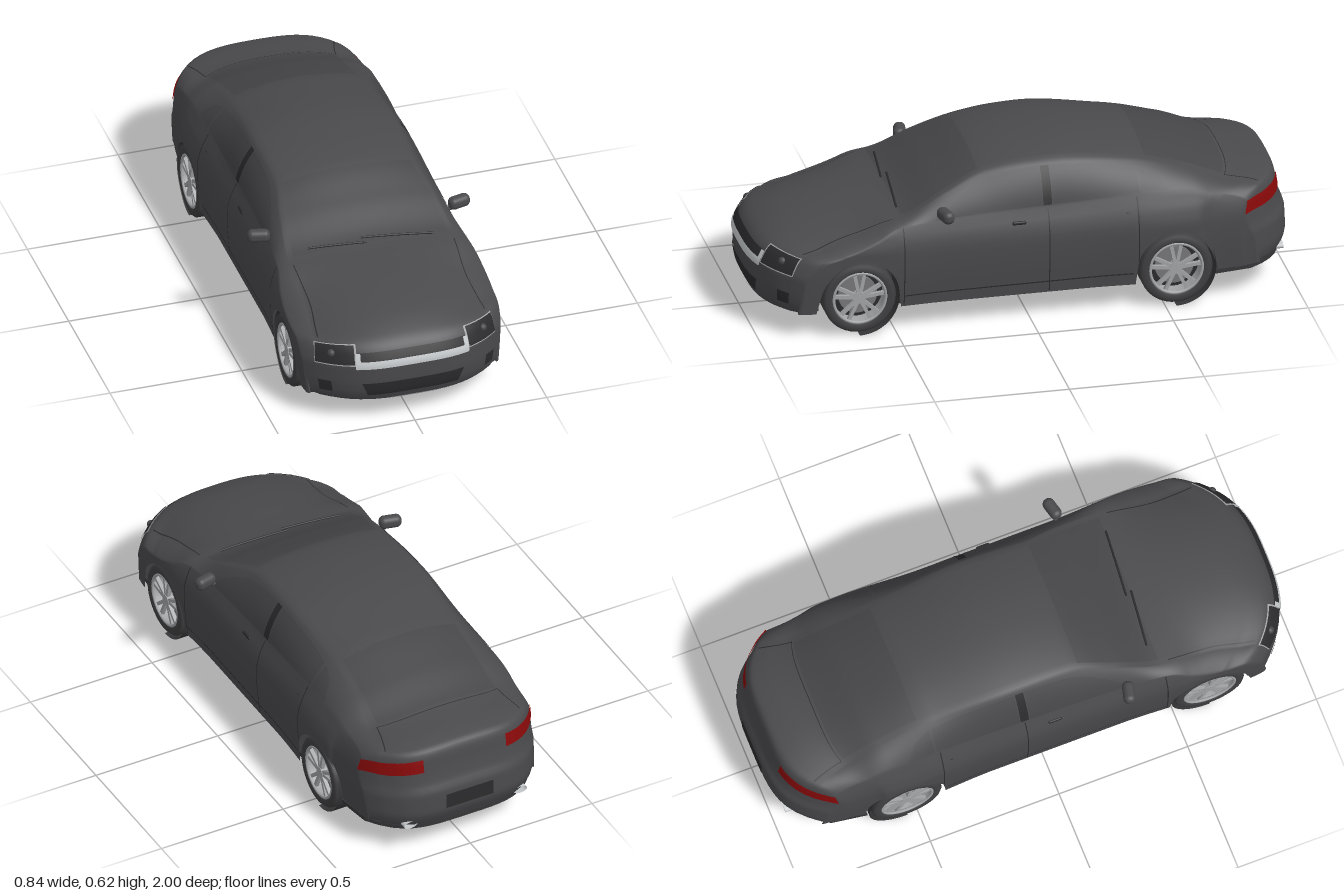
import * as THREE from 'three';
import { RoundedBoxGeometry } from 'three/addons/geometries/RoundedBoxGeometry.js';

const mat = (name, color) => new THREE.MeshStandardMaterial({ name, color, side: THREE.DoubleSide });
const M = {
  paint: mat('charcoalPaint', 0x4a4a4d), glass: mat('darkGlass', 0x464649), trim: mat('blackTrim', 0x2b2b2d),
  tyre: mat('tyreRubber', 0x404042), rim: mat('alloy', 0xa2a4a6), chrome: mat('chrome', 0xc4c8ca),
  red: mat('tailRed', 0x8a0a0a), steel: mat('chassisSteel', 0x777779), floor: mat('underbody', 0x363638),
};

// smooth monotone interpolation through [u, value] points
function track(p) {
  const n = p.length, d = [], m = [];
  for (let i = 0; i < n - 1; i++) d.push((p[i + 1][1] - p[i][1]) / (p[i + 1][0] - p[i][0]));
  for (let i = 0; i < n; i++) {
    if (i === 0 || i === n - 1) m.push(n === 2 ? d[0] : 0.5 * d[Math.min(i, n - 2)]);
    else m.push(d[i - 1] * d[i] <= 0 ? 0 : 2 * d[i - 1] * d[i] / (d[i - 1] + d[i]));
  }
  return u => {
    if (u <= p[0][0]) return p[0][1];
    if (u >= p[n - 1][0]) return p[n - 1][1];
    let i = 0;
    while (u > p[i + 1][0]) i++;
    const h = p[i + 1][0] - p[i][0], t = (u - p[i][0]) / h, s = 1 - t;
    return p[i][1] * (1 + 2 * t) * s * s + m[i] * h * t * s * s + p[i + 1][1] * t * t * (3 - 2 * t) - m[i + 1] * h * t * t * s;
  };
}

// body lines; u runs tail to nose along the centre profile and equals z in the middle of the car
const U0 = -1.27, U1 = 1.2, AXLES = [0.635, -0.54], ARCH = 0.148, HUB = 0.135;
const along = track([[-1.27, -.975], [-1.2, -.998], [-1.13, -.995], [-1.1, -.98], [-1.05, -.968], [-.98, -.957], [-.9, -.9], [-.8, -.8],
  [.85, .85], [.93, .93], [.97, .962], [1, .98], [1.05, .998], [1.1, .998], [1.15, .993], [1.2, .975]]);
const top = track([[-1.27, .115], [-1.2, .18], [-1.13, .255], [-1.1, .29], [-1.05, .34], [-.98, .40], [-.95, .424], [-.9, .436], [-.77, .457],
  [-.61, .515], [-.39, .576], [-.115, .603], [.0, .598], [.14, .577], [.3, .507], [.47, .424], [.55, .412], [.68, .395], [.84, .363],
  [.93, .328], [.97, .305], [1, .28], [1.05, .235], [1.1, .185], [1.15, .135], [1.2, .085]]);
const halfW = track([[-1.27, .345], [-1.1, .352], [-.9, .362], [-.75, .375], [-.5, .388], [-.2, .376], [.3, .376], [.6, .387], [.93, .385], [1.05, .377], [1.2, .362]]);
const roofW = track([[-1.27, .30], [-1, .305], [-.9, .285], [-.77, .262], [-.4, .25], [-.1, .262], [.14, .258], [.3, .288], [.48, .312], [.7, .305], [.93, .325], [1.05, .337], [1.2, .32]]);
const drop = track([[-1.27, .01], [-1.05, .02], [-.9, .025], [-.77, .03], [-.4, .04], [-.1, .033], [.14, .028], [.3, .02], [.48, .016], [.68, .04], [.85, .045], [.97, .02], [1.2, .01]]);
const belt = track([[-1, .36], [-.9, .385], [-.75, .405], [-.55, .425], [-.2, .412], [.3, .398], [.47, .388], [.6, .35], [.75, .322], [.93, .295], [1.2, .26]]);
const girth = track([[.08, .962], [.15, .982], [.25, 1], [.3, 1], [.36, .965], [.41, .905], [.44, .87]]);
const sill = track([[-1.27, .115], [-.75, .1], [-.6, .085], [1.2, .085]]);
const bendF = track([[.5, 0], [.93, .18], [1.2, .18]]), bendR = track([[-1.27, .25], [-.92, .25], [-.6, 0]]);
const bent = (u, x) => along(u) - bendF(u) * Math.pow(Math.abs(x) / .39, 3) + (u < 0 ? bendR(u) : 0) * Math.pow(Math.abs(x) / .39, 4);

// point on the skin: q 0-1 lower side, 1-2 upper side, 2-3 edge to centre, 3-6 the mirror image
function skin(u, q) {
  const side = q > 3 ? -1 : 1;
  if (q > 3) q = 6 - q;
  const W = halfW(u), R = roofW(u), T = top(u), zs = bent(u, W * .98);
  let b = sill(u);
  for (const a of AXLES) if (Math.abs(zs - a) < ARCH) b = Math.max(b, HUB + Math.sqrt(ARCH ** 2 - (zs - a) ** 2));
  const E = Math.max(Math.min(b, T), T - drop(u)), B = Math.max(Math.min(b, E), Math.min(belt(u), E - .01));
  const bx = W * girth(B);
  let x, y;
  if (q <= 1) { y = b + (B - b) * q; x = W * girth(y); }
  else if (q <= 2) {
    const f = q - 1, dx = bx - R, dy = E - B, l = Math.hypot(dx, dy), k = .07 * l * 4 * f * (1 - f);
    x = bx - dx * f + k * dy / l; y = B + dy * f + k * dx / l;
  } else { x = R * (3 - q); y = E + (T - E) * (1 - Math.pow(3 - q, 2.2)); }
  return new THREE.Vector3(side * x, y, bent(u, x));
}
function lifted(u, q, off) {
  const p = skin(u, q);
  if (!off) return p;
  const du = skin(u + .004, q).sub(skin(u - .004, q)), dq = skin(u, q + .01).sub(skin(u, q - .01));
  return p.addScaledVector(dq.cross(du).normalize(), off);
}

export function createModel() {
  const car = new THREE.Group();
  car.name = 'sedan';
  const add = (name, geo, m, pos = [0, 0, 0], parent = car) => {
    const o = new THREE.Mesh(geo, m);
    o.name = name; o.position.set(...pos); parent.add(o);
    return o;
  };
  // piece of skin between q0(u) and q1(u)
  const patch = (name, m, ua, ub, nu, q0, q1, nq, off) => {
    const f = v => typeof v === 'function' ? v : () => v, A = f(q0), B = f(q1), pos = [], idx = [];
    for (let i = 0; i <= nu; i++) for (let j = 0; j <= nq; j++) {
      const u = ua + (ub - ua) * i / nu;
      pos.push(...lifted(u, A(u) + (B(u) - A(u)) * j / nq, off));
      const k = i * (nq + 1) + j;
      if (i < nu && j < nq) idx.push(k, k + 1, k + nq + 1, k + 1, k + nq + 2, k + nq + 1);
    }
    const g = new THREE.BufferGeometry();
    g.setAttribute('position', new THREE.Float32BufferAttribute(pos, 3));
    g.setIndex(idx); g.computeVertexNormals();
    return add(name, g, m);
  };
  const pair = (name, m, ua, ub, nu, q0, q1, nq, off) => {
    const f = v => typeof v === 'function' ? v : () => v;
    patch(name + 'Left', m, ua, ub, nu, q0, q1, nq, off);
    patch(name + 'Right', m, ua, ub, nu, u => 6 - f(q1)(u), u => 6 - f(q0)(u), nq, off);
  };
  const tube = (name, m, pts, r) => add(name, new THREE.TubeGeometry(
    new THREE.CatmullRomCurve3(pts.map(p => p.isVector3 ? p : new THREE.Vector3(...p))), 24, r, 8), m);

  patch('bodyShell', M.paint, U0, U1, 230, 0, 6, 60, 0);

  // glazing
  patch('windscreen', M.glass, .17, .465, 16, 2.06, 3.94, 24, .002);
  patch('rearWindow', M.glass, -.76, -.45, 16, 2.08, 3.92, 24, .002);
  pair('frontDoorWindow', M.glass, -.05, .35, 20, 1.06, track([[-.05, 1.86], [.1, 1.83], [.25, 1.62], [.35, 1.08]]), 8, .002);
  pair('rearDoorWindow', M.glass, -.41, -.09, 14, 1.06, track([[-.41, 1.76], [-.3, 1.83], [-.09, 1.86]]), 8, .002);
  pair('quarterWindow', M.glass, -.52, -.42, 8, 1.06, track([[-.52, 1.12], [-.48, 1.55], [-.42, 1.75]]), 6, .002);

  // panel gaps
  for (const z of [.47, -.07, -.40]) pair('doorGap', M.trim, z - .002, z + .002, 1, .02, 1, 14, .001);
  pair('doorPillarTrim', M.trim, -.086, -.054, 2, 1.06, 1.86, 8, .0015);
  pair('sillGap', M.trim, -.38, .47, 30, .13, .145, 1, .001);
  pair('bonnetGap', M.trim, .5, .93, 20, 2.02, 2.032, 1, .001);
  pair('bootGap', M.trim, -.93, -.77, 10, 2.05, 2.062, 1, .001);
  patch('bootLidGap', M.trim, -.773, -.77, 1, 2.06, 3.94, 20, .001);

  // nose
  patch('grille', M.trim, .99, 1.045, 6, 2.39, 3.61, 16, .003);
  patch('grilleBar', M.chrome, 1.024, 1.052, 4, 2.38, 3.62, 20, .006);
  pair('grilleEnd', M.chrome, .992, 1.05, 5, 2.37, 2.42, 2, .006);
  pair('headlightFrame', M.rim, .955, 1.04, 8, 1.9, 2.38, 8, .002);
  pair('headlight', M.trim, .96, 1.035, 8, 1.95, 2.36, 8, .004);
  patch('lowerGrille', M.trim, 1.115, 1.168, 6, u => 2.42 + (u - 1.115), u => 3.58 - (u - 1.115), 16, .003);
  pair('fogLight', M.trim, 1.11, 1.155, 4, 2.0, 2.12, 3, .003);
  patch('splitterTrim', M.rim, 1.19, 1.196, 1, 2.75, 3.25, 6, .003);

  // tail
  pair('tailLight', M.red, -1.045, -.985, 6, u => 1.0 + .1 * Math.abs(u + 1.015), 2.45, 16, .004);
  patch('plateRecess', M.trim, -1.2, -1.145, 4, 2.68, 3.32, 8, .002);

  // flat floor with wheel cut-outs
  const half = [];
  for (let i = 0; i <= 10; i++) half.push([.0355 * i, .97 - .18 * Math.pow(.0355 * i / .39, 3)]);
  for (const a of AXLES) half.push([.36, a + .15], [.25, a + .15], [.25, a - .15], [.36, a - .15]);
  for (let i = 10; i >= 0; i--) half.push([.034 * i, -.968 + .25 * Math.pow(.034 * i / .39, 4)]);
  const outline = [...half, ...half.slice(1, -1).reverse().map(([x, z]) => [-x, z])];
  add('floorPan', new THREE.ExtrudeGeometry(new THREE.Shape(outline.map(p => new THREE.Vector2(...p))),
    { depth: .015, bevelEnabled: false }).rotateX(Math.PI / 2), M.floor, [0, .108, 0]);

  // wheels
  const tyreProfile = [[.098, -.05], [.124, -.051], [.135, -.042], [.135, .04], [.126, .05], [.105, .051], [.099, .044]]
    .map(p => new THREE.Vector2(...p));
  const disc = (r, w) => new THREE.CylinderGeometry(r, r, w, 32).rotateZ(-Math.PI / 2);
  for (const z of AXLES) for (const s of [1, -1]) {
    const wheel = new THREE.Group();
    wheel.name = (z > 0 ? 'front' : 'rear') + (s > 0 ? 'Left' : 'Right') + 'Wheel';
    wheel.position.set(s * .328, HUB, z);
    if (s < 0) wheel.rotation.y = Math.PI;
    car.add(wheel);
    add('tyre', new THREE.LatheGeometry(tyreProfile, 48).rotateZ(-Math.PI / 2), M.tyre, [0, 0, 0], wheel);
    add('rimBarrel', new THREE.CylinderGeometry(.099, .099, .09, 40, 1, true).rotateZ(-Math.PI / 2), M.rim, [0, 0, 0], wheel);
    add('rimLip', new THREE.TorusGeometry(.097, .006, 8, 48).rotateY(Math.PI / 2), M.rim, [.044, 0, 0], wheel);
    add('brakeDisc', disc(.072, .012), M.steel, [.005, 0, 0], wheel);
    add('hubBacking', disc(.097, .006), M.trim, [-.02, 0, 0], wheel);
    add('hubCap', disc(.022, .03), M.rim, [.03, 0, 0], wheel);
    for (let i = 0; i < 5; i++) for (const d of [-.2, .2])
      add('spoke', new THREE.BoxGeometry(.014, .08, .013).translate(0, .057, 0).rotateX(i * Math.PI * .4 + d), M.rim, [.036, 0, 0], wheel);
    // arch lining
    add('archLiner', new THREE.CylinderGeometry(.148, .148, .125, 28, 1, true, 0, Math.PI).rotateZ(Math.PI / 2)
      .rotateX(0), M.floor, [s * .3125, HUB, z]).rotation.x = liningTurn;
    add('archInnerWall', new THREE.CircleGeometry(.15, 28, 0, Math.PI).rotateY(Math.PI / 2), M.floor, [s * .25, HUB, z]);
    add('archLowerWall', new THREE.BoxGeometry(.004, .05, .3), M.floor, [s * .25, .115, z]);
    // suspension
    add('lowerArm', new THREE.BoxGeometry(.16, .014, .03), M.steel, [s * .22, .09, z + .03]);
    tube('driveshaft', M.steel, [[s * .05, .1, z], [s * .3, HUB, z]], .009);
  }

  // mirrors, handles, wipers, lamps and exhaust tips
  for (const s of [1, -1]) {
    const m = add('doorMirror', new RoundedBoxGeometry(.084, .048, .044, 5, .02), M.paint, [s * .38, .434, .318]);
    m.rotation.y = s * .25;
    tube('mirrorStalk', M.paint, [[s * .33, .408, .315], [s * .352, .413, .318], [s * .37, .423, .32]], .008);
    for (const z of [.04, -.38]) {
      const p = skin(z, .92);
      add('doorHandle', new RoundedBoxGeometry(.014, .014, .052, 3, .006), M.trim, [s * (p.x + .003), .367, z]);
    }
    const lamp = skin(.995, 2.14);
    add('headlightLens', new THREE.SphereGeometry(.016, 16, 12), M.glass, [s * lamp.x, lamp.y, lamp.z - .004]);
    add('exhaustTip', new THREE.CylinderGeometry(.017, .017, .05, 20, 1, true).scale(1.6, 1, .8).rotateX(Math.PI / 2), M.chrome, [s * .225, .125, -.94]);
    tube('exhaustBranch', M.steel, [[0, .085, -.62], [s * .1, .085, -.72], [s * .2, .09, -.8], [s * .225, .12, -.93]], .012);
    add('rearSilencer', new THREE.CapsuleGeometry(.028, .09, 6, 16).rotateZ(Math.PI / 2), M.steel, [s * .2, .09, -.79]);
  }
  for (const [a, b] of [[2.25, 3.1], [3.05, 3.75]])
    tube('wiper', M.trim, [0, .25, .5, .75, 1].map(t => lifted(.468 - .025 * t, a + (b - a) * t, .005)), .004);

  // running gear under the floor
  tube('exhaustPipe', M.steel, [[.03, .085, .5], [.02, .083, .3], [0, .083, 0], [0, .083, -.4], [0, .085, -.62]], .014);
  tube('propShaft', M.steel, [[-.035, .088, .5], [-.035, .088, -.5]], .01);
  add('rearDifferential', new THREE.SphereGeometry(.04, 16, 12).scale(1.2, .7, 1), M.steel, [0, .1, -.54]);
  for (const z of AXLES) add('subframe', new THREE.BoxGeometry(.36, .016, .04), M.steel, [0, .09, z - .06]);
  return car;
}

// turns the half-cylinder lining so that it covers the top of the wheel
const liningTurn = -Math.PI / 2;
